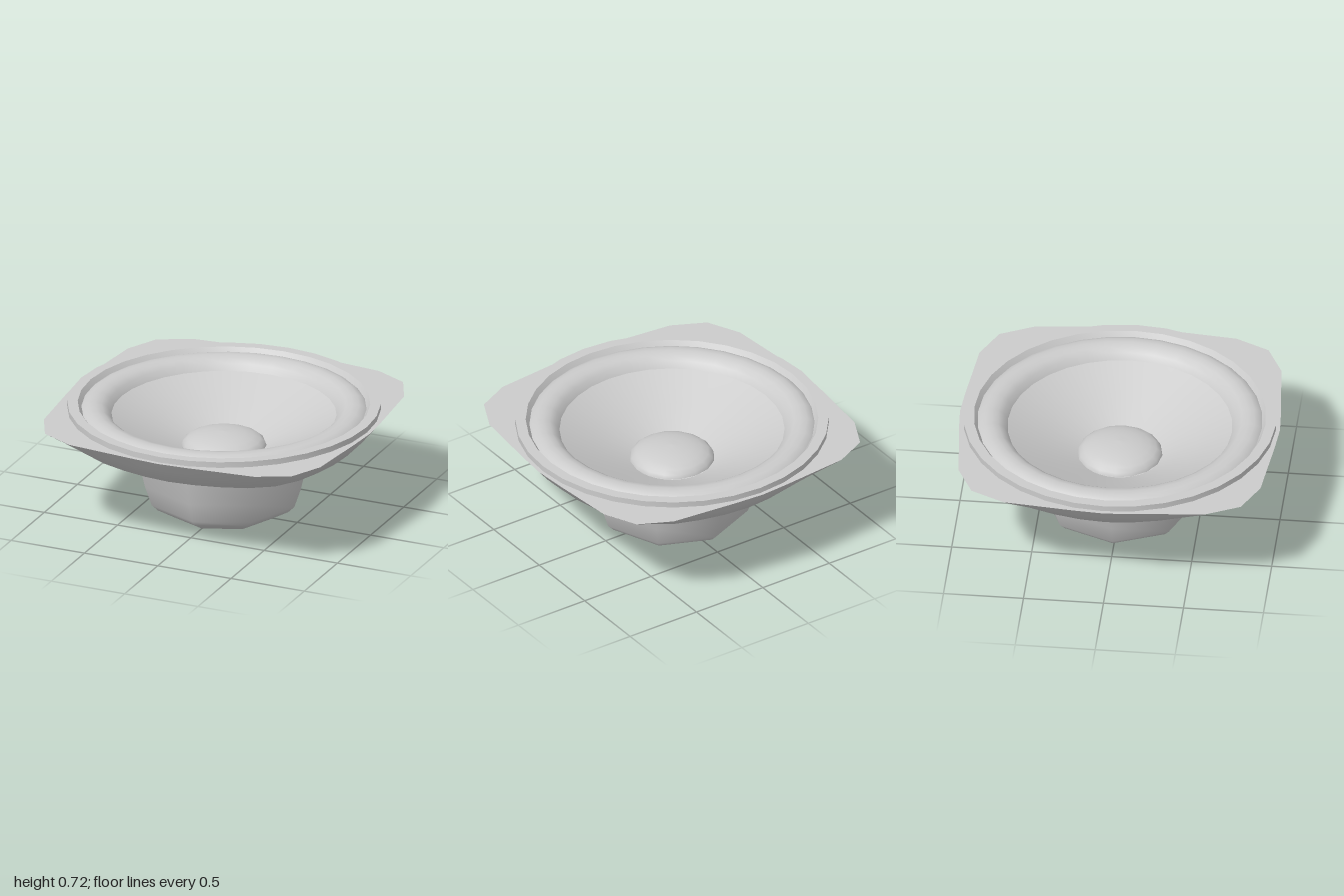
import * as THREE from 'three';
import { toCreasedNormals } from 'three/addons/utils/BufferGeometryUtils.js';

const material = new THREE.MeshStandardMaterial({ color: 0xcccccc, side: THREE.DoubleSide });
const SIDES = 32;
// how far the outline moves from side radius to corner radius, per 11.25 degrees
const CORNER_BLEND = [0, 0.03, 0.24, 0.71, 1, 0.71, 0.24, 0.03];

function addMesh(group, name, geometry) {
  const mesh = new THREE.Mesh(geometry, material);
  mesh.name = name;
  group.add(mesh);
}

// Revolved profile of [radius, height] pairs
function lathe(profile, sides) {
  return new THREE.LatheGeometry(profile.map(([r, y]) => new THREE.Vector2(r, y)), sides);
}

// Skin through closed loops, each { y, radius(i) }
function loft(loops) {
  const positions = [], index = [];
  loops.forEach(({ y, radius }, k) => {
    for (let i = 0; i < SIDES; i++) {
      const a = (i / SIDES) * Math.PI * 2, r = radius(i);
      positions.push(r * Math.sin(a), y, r * Math.cos(a));
      if (k === 0) continue;
      const j = (i + 1) % SIDES, lo = (k - 1) * SIDES, hi = k * SIDES;
      index.push(lo + i, lo + j, hi + j, lo + i, hi + j, hi + i);
    }
  });
  const geometry = new THREE.BufferGeometry();
  geometry.setAttribute('position', new THREE.Float32BufferAttribute(positions, 3));
  geometry.setIndex(index);
  geometry.computeVertexNormals();
  return geometry;
}

// Rounded-square outline given its side and corner radii
const squared = (side, corner) => (i) => side + (corner - side) * CORNER_BLEND[i % 8];

// Octagon outline with vertices on the axes
const octagon = (r) => (i) =>
  r * Math.cos(Math.PI / 8) / Math.cos((i % 4) * Math.PI / 16 - Math.PI / 8);

export function createModel() {
  const group = new THREE.Group();
  group.name = 'loudspeaker';

  // Eight-sided magnet housing
  addMesh(group, 'magnetHousing', lathe([
    [0, 0], [0.335, 0], [0.44, 0.06], [0.48, 0.1], [0.525, 0.23], [0.565, 0.4],
  ], 8));

  // Basket flaring from the octagon to the rounded-square rim
  addMesh(group, 'basket', loft([
    { y: 0.4, radius: octagon(0.565) },
    { y: 0.465, radius: squared(0.69, 0.69) },
    { y: 0.505, radius: squared(0.84, 0.9) },
    { y: 0.61, radius: squared(0.94, 1.07) },
    { y: 0.685, radius: squared(1, 1.19) },
  ]));

  // Flat mounting plate
  addMesh(group, 'mountingPlate', loft([
    { y: 0.685, radius: squared(1, 1.19) },
    { y: 0.685, radius: squared(0.88, 0.88) },
  ]));

  // Raised gasket ring
  addMesh(group, 'gasketRing', toCreasedNormals(lathe([
    [0.975, 0.685], [0.975, 0.722], [0.91, 0.722], [0.885, 0.685],
  ], SIDES), 0.6));

  // Rolled surround
  addMesh(group, 'surround', lathe([
    [0.89, 0.685], [0.87, 0.703], [0.84, 0.715], [0.8, 0.718], [0.76, 0.708], [0.725, 0.685], [0.7, 0.645],
  ], SIDES));

  // Cone
  addMesh(group, 'cone', lathe([[0.7, 0.645], [0.48, 0.535], [0.26, 0.435]], SIDES));

  // Dust cap
  const dome = [];
  for (let i = 0; i <= 6; i++) {
    const a = (i / 6) * Math.PI / 2;
    dome.push([0.265 * Math.cos(a), 0.44 + 0.09 * Math.sin(a)]);
  }
  addMesh(group, 'dustCap', lathe(dome, 16));

  return group;
}
